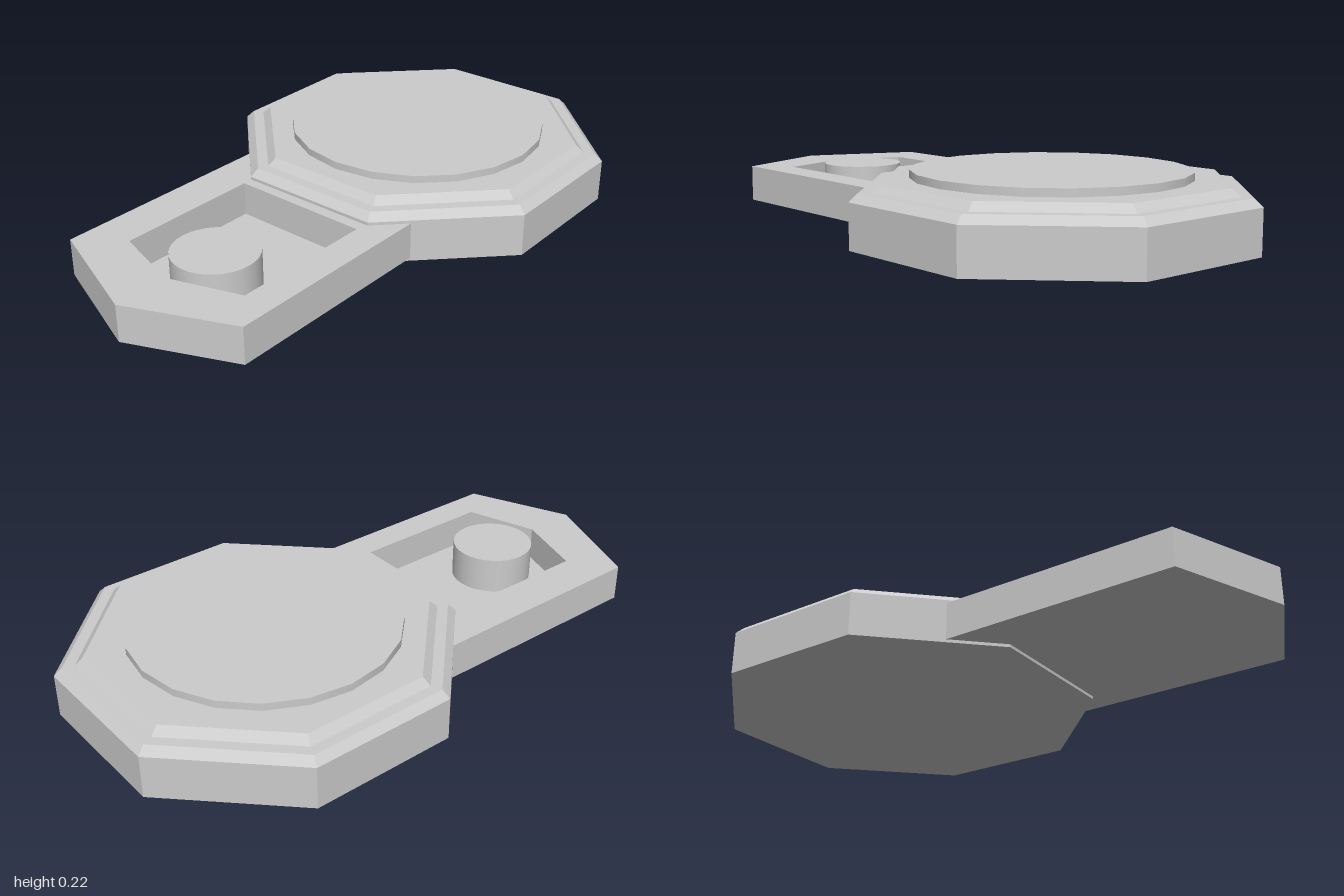
import * as THREE from 'three';

const flat = new THREE.MeshStandardMaterial({ color: 0xcccccc, flatShading: true });
const smooth = new THREE.MeshStandardMaterial({ color: 0xcccccc });

function addPart(group, name, geometry, material, x = 0, y = 0, z = 0) {
  const mesh = new THREE.Mesh(geometry, material);
  mesh.name = name;
  mesh.position.set(x, y, z);
  group.add(mesh);
  return mesh;
}

// Horizontal slab from a plan outline of [x, z] points, with an optional hole
function slab(outline, bottom, top, hole) {
  const points = (list) => list.map(([x, z]) => new THREE.Vector2(x, z));
  const shape = new THREE.Shape(points(outline));
  if (hole) shape.holes.push(new THREE.Path(points(hole)));
  return new THREE.ExtrudeGeometry(shape, { depth: top - bottom, bevelEnabled: false })
    .rotateX(Math.PI / 2)
    .translate(0, top, 0);
}

export function createModel() {
  const model = new THREE.Group();
  model.name = 'octagonalBaseWithArm';

  // Octagonal base with two chamfered steps; profile is [apothem, y]
  const profile = [
    [0, 0], [0.6, 0], [0.6, 0.145], [0.575, 0.17],
    [0.54, 0.17], [0.515, 0.195], [0, 0.195],
  ].map(([a, y]) => new THREE.Vector2(a / Math.cos(Math.PI / 8), y));
  const base = addPart(model, 'octagonalBase', new THREE.LatheGeometry(profile, 8), flat, 0.397);
  base.rotation.y = Math.PI / 8 + 0.01;

  // Raised round plate on top of the base
  addPart(model, 'roundPlate', new THREE.CylinderGeometry(0.44, 0.44, 0.03, 20), smooth, 0.385, 0.205, 0.003);

  // Pointed arm: closed floor below a rim with a pointed pocket
  const outline = [[-1, 0], [-0.85, -0.385], [0.1, -0.385], [0.1, 0.35], [-0.85, 0.35]];
  const pocket = [[-0.815, 0], [-0.735, 0.243], [-0.24, 0.243], [-0.24, -0.24], [-0.74, -0.24]];
  const floorY = 0.02;
  addPart(model, 'armFloor', slab(outline, 0.01, floorY), flat);
  addPart(model, 'armRim', slab(outline, floorY, 0.135, pocket), flat);

  // Round post standing in the pocket
  addPart(model, 'post', new THREE.CylinderGeometry(0.14, 0.14, 0.13, 32), smooth, -0.622, 0.08, 0.012);

  return model;
}
